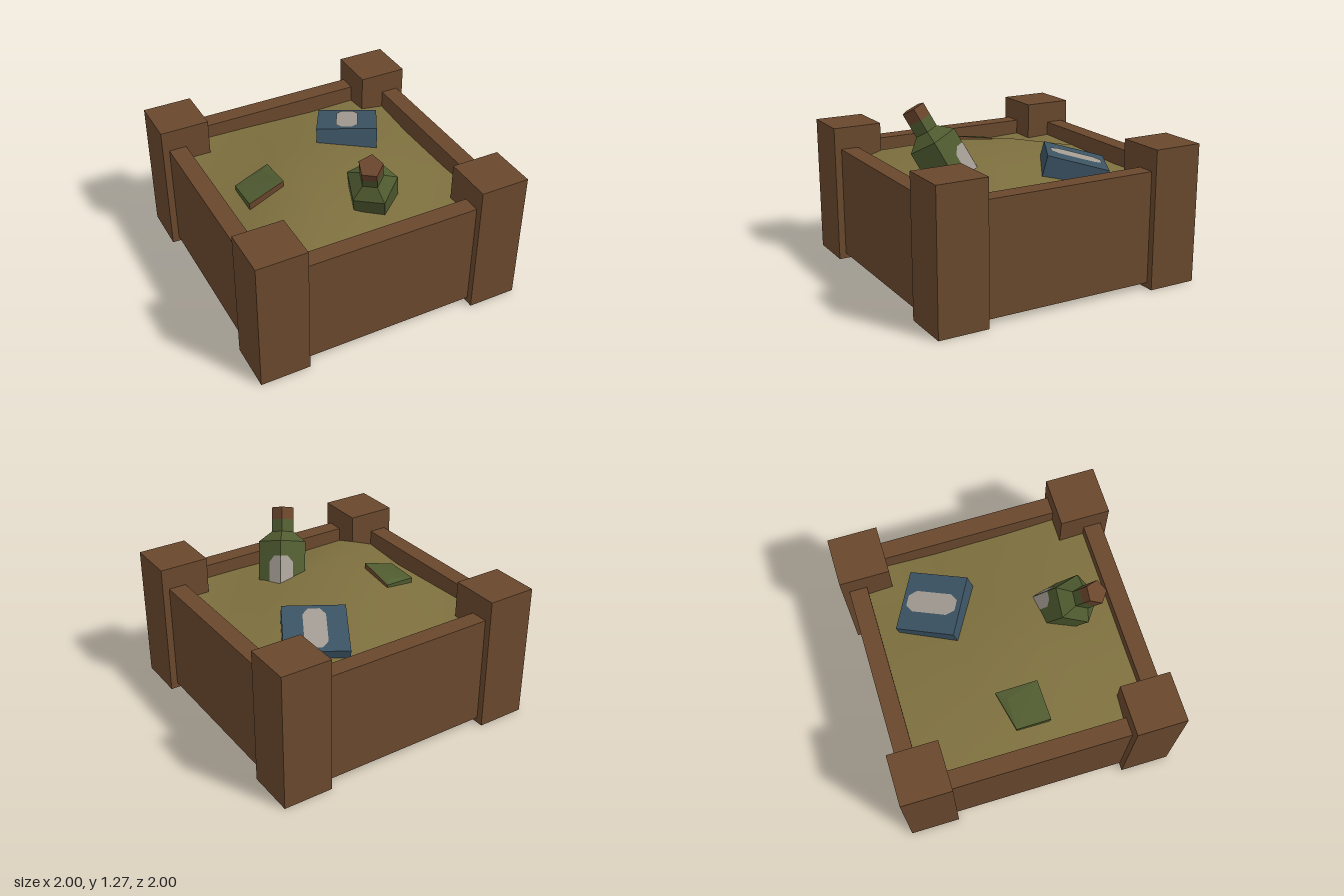
import * as THREE from 'three';

const mat = (name, color, double = false) => {
  const m = new THREE.MeshStandardMaterial({ color, side: double ? THREE.DoubleSide : THREE.FrontSide });
  m.name = name;
  return m;
};

export function createModel() {
  const wood = mat('wood brown', 0x69482d, true);
  const sandMat = mat('sand', 0x7d6f3e, true);
  const green = mat('bottle green', 0x4f5b30);
  const brown = mat('rust brown', 0x6a452c);
  const blue = mat('blue', 0x3b5363);
  const pale = mat('pale label', 0xa39c93, true);
  green.flatShading = brown.flatShading = true;

  const root = new THREE.Group();
  root.name = 'sandCrate';
  const add = (parent, name, geometry, material) => {
    const mesh = new THREE.Mesh(geometry, material);
    mesh.name = name;
    parent.add(mesh);
    return mesh;
  };

  // Corner posts, hollow and open at the bottom
  const post = new THREE.BoxGeometry(0.36, 1, 0.36);
  const postIndex = Array.from(post.index.array);
  postIndex.splice(18, 6);
  post.setIndex(postIndex);
  post.clearGroups();
  for (const x of [-0.82, 0.82]) for (const z of [-0.82, 0.82])
    add(root, 'cornerPost', post, wood).position.set(x, 0.5, z);

  // Side walls: outer sheet, top rim, and a short inner sheet down to the sand
  for (let i = 0; i < 4; i++) {
    const wall = new THREE.Group();
    wall.name = 'sideWall';
    wall.rotation.y = i * Math.PI / 2;
    root.add(wall);
    add(wall, 'wallOuter', new THREE.PlaneGeometry(1.28, 0.8).translate(0, 0.44, 0.95), wood);
    add(wall, 'wallTop', new THREE.PlaneGeometry(1.28, 0.13).rotateX(-Math.PI / 2).translate(0, 0.84, 0.885), wood);
    add(wall, 'wallInner', new THREE.PlaneGeometry(1.28, 0.15).rotateY(Math.PI).translate(0, 0.765, 0.82), wood);
  }

  // Coarse sand sheet, heights listed row by row from the back
  const heights = [
    0.74, 0.73, 0.71, 0.72,
    0.72, 0.85, 0.77, 0.69,
    0.70, 0.91, 0.83, 0.70,
    0.74, 0.73, 0.74, 0.74,
  ];
  const sand = new THREE.PlaneGeometry(1.64, 1.64, 3, 3).rotateX(-Math.PI / 2);
  heights.forEach((h, i) => sand.attributes.position.setY(i, h));
  sand.computeVertexNormals();
  add(root, 'sand', sand, sandMat);

  // Tilted five-sided bottle, half buried; local y = 0 is the top of its cap
  const bottle = new THREE.Group();
  bottle.name = 'bottle';
  bottle.position.set(-0.024, 1.23, 0.66);
  bottle.quaternion.setFromUnitVectors(
    new THREE.Vector3(0, 1, 0), new THREE.Vector3(-0.28, 0.87, 0.41).normalize());
  root.add(bottle);
  const R = 0.18, side = Math.PI / 5;
  const section = (name, rTop, rBottom, from, to, material, open) => {
    const g = new THREE.CylinderGeometry(rTop, rBottom, to - from, 5, 1, open);
    add(bottle, name, g, material).position.y = -(from + to) / 2;
  };
  section('bottleCap', 0.085, 0.085, 0, 0.09, brown, false);
  section('bottleNeck', 0.085, 0.085, 0.09, 0.18, green, true);
  section('bottleShoulder', 0.085, R, 0.18, 0.255, green, true);
  section('bottleBody', R, R, 0.255, 0.7, green, false);

  // Label wrapped over two neighbouring sides of the bottle
  const half = new THREE.Shape([
    [0, -0.115], [0.06, -0.115], [0.105, -0.07], [0.105, 0.07], [0.06, 0.115], [0, 0.115],
  ].map(([x, y]) => new THREE.Vector2(x, y)));
  for (const s of [-1, 1]) {
    const g = new THREE.ShapeGeometry(half);
    g.scale(s, 1, 1);
    if (s < 0) g.setIndex(Array.from(g.index.array).reverse());
    g.computeVertexNormals();
    g.translate(-s * R * Math.sin(side), -0.48, R * Math.cos(side) + 0.003);
    add(bottle, 'bottleLabel', g, pale).rotation.y = 4 * side + s * side;
  }

  // Tilted blue case with a pale rounded panel
  const box = new THREE.Group();
  box.name = 'blueCase';
  const bx = new THREE.Vector3(0.39, 0.01, 0.215).normalize();
  const bz = new THREE.Vector3(-0.22, 0.11, 0.37).normalize();
  const by = new THREE.Vector3().crossVectors(bz, bx).normalize();
  bz.crossVectors(bx, by);
  box.quaternion.setFromRotationMatrix(new THREE.Matrix4().makeBasis(bx, by, bz));
  box.position.set(0.382, 0.85, -0.41);
  root.add(box);
  add(box, 'caseBody', new THREE.BoxGeometry(0.445, 0.2, 0.44), blue).position.y = -0.1;
  const panel = new THREE.Shape([
    [-0.04, -0.185], [0.04, -0.185], [0.08, -0.13], [0.08, 0.13],
    [0.04, 0.185], [-0.04, 0.185], [-0.08, 0.13], [-0.08, -0.13],
  ].map(([x, y]) => new THREE.Vector2(x, y)));
  add(box, 'casePanel', new THREE.ShapeGeometry(panel).rotateX(-Math.PI / 2), pale).position.y = 0.004;

  // Buried wedge: green top and back, brown undercut front and underside
  const rim = [[-0.67, 0.79, -0.1], [-0.67, 0.8, 0.15], [-0.4, 0.89, 0.13], [-0.39, 0.84, -0.17]];
  const base = rim.map(([x, , z]) => [-0.53 + (x + 0.53) * 0.9, 0.6, z * 0.9]);
  const crest = [-0.46, 0.85, -0.1];
  const facets = (faces) => {
    const g = new THREE.BufferGeometry();
    g.setAttribute('position', new THREE.Float32BufferAttribute(faces.flat(2), 3));
    g.computeVertexNormals();
    return g;
  };
  const flank = (i, j) => [[rim[i], base[i], base[j]], [rim[i], base[j], rim[j]]];
  const [a, b, c, d] = rim;
  add(root, 'wedgeTop', facets([
    [a, b, c], [a, c, crest], [crest, c, d], [a, crest, d], ...flank(0, 1), ...flank(3, 0),
  ]), green);
  add(root, 'wedgeUnderside', facets([
    [base[0], base[3], base[2]], [base[0], base[2], base[1]], ...flank(1, 2), ...flank(2, 3),
  ]), brown);

  return root;
}
